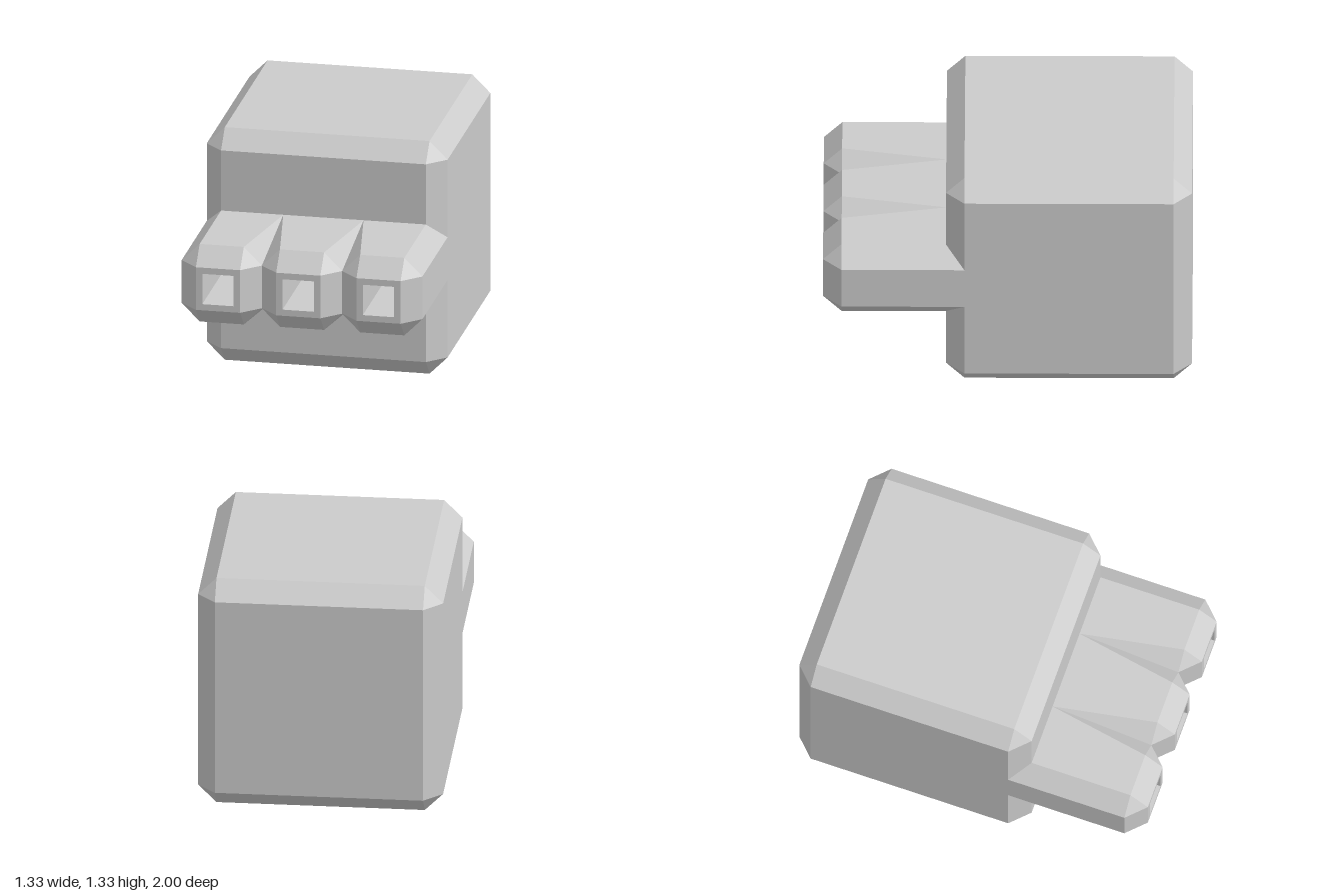
import * as THREE from 'three';
import { ConvexGeometry } from 'three/addons/geometries/ConvexGeometry.js';

const BEVEL = 0.1;
const HALF = 0.667; // half side of the cube body
const FACE_Z = 0.333; // front of the body
const CY = 0.667; // height of the centre line
const R = 0.2223; // half side of a barrel

const material = new THREE.MeshStandardMaterial({ color: 0xcccccc, flatShading: true });

// Cube with all edges and corners cut off
function bevelledCube(h, c) {
  const points = [];
  for (const sx of [-1, 1]) for (const sy of [-1, 1]) for (const sz of [-1, 1]) {
    for (let axis = 0; axis < 3; axis++) {
      const reach = [h - c, h - c, h - c];
      reach[axis] = h;
      points.push(new THREE.Vector3(sx * reach[0], sy * reach[1], sz * reach[2]));
    }
  }
  return new ConvexGeometry(points);
}

// Rectangle with its left and right corners cut by cl and cr, counter-clockwise from the front
function ring(x, halfW, halfH, cl, cr, z) {
  const [l, r, b, t] = [x - halfW, x + halfW, CY - halfH, CY + halfH];
  return [
    [r - cr, b, z], [r, b + cr, z], [r, t - cr, z], [r - cr, t, z],
    [l + cl, t, z], [l, t - cl, z], [l, b + cl, z], [l + cl, b, z],
  ];
}

// Skin over successive rings, with the first ring closed
function loft(rings) {
  const positions = [];
  const triangle = (...corners) => {
    const [a, b, c] = corners.map((p) => new THREE.Vector3(...p));
    if (b.clone().sub(a).cross(c.clone().sub(a)).length() > 1e-7) {
      positions.push(...corners.flat());
    }
  };
  const first = rings[0];
  for (let i = 1; i < first.length - 1; i++) triangle(first[0], first[i], first[i + 1]);
  for (let k = 0; k < rings.length - 1; k++) {
    const [a, b] = [rings[k], rings[k + 1]];
    for (let i = 0; i < a.length; i++) {
      const j = (i + 1) % a.length;
      triangle(a[i], b[i], b[j]);
      triangle(a[i], b[j], a[j]);
    }
  }
  const geometry = new THREE.BufferGeometry();
  geometry.setAttribute('position', new THREE.Float32BufferAttribute(positions, 3));
  geometry.computeVertexNormals();
  return geometry;
}

// Barrel with a square bore; bevels next to another barrel fade out at the body
function barrelGeometry(side) {
  const x = side * 2 * R;
  const bore = 0.087;
  const rearL = side < 0 ? BEVEL : 0;
  const rearR = side > 0 ? BEVEL : 0;
  return loft([
    ring(x, bore, bore, 0, 0, 0.43), // bore floor
    ring(x, bore, bore, 0, 0, 1), // bore mouth
    ring(x, R - BEVEL, R - BEVEL, 0, 0, 1), // muzzle face
    ring(x, R, R, BEVEL, BEVEL, 1 - BEVEL), // shoulder
    ring(x, R, R, rearL, rearR, FACE_Z), // root
    ring(x, R, R, rearL, rearR, FACE_Z - BEVEL - 0.02), // end sunk into the body
  ]);
}

export function createModel() {
  const model = new THREE.Group();
  model.name = 'tripleBarrelBlock';

  const body = new THREE.Mesh(bevelledCube(HALF, BEVEL), material);
  body.name = 'body';
  body.position.set(0, HALF, FACE_Z - HALF);
  model.add(body);

  const names = ['rightBarrel', 'middleBarrel', 'leftBarrel'];
  names.forEach((name, i) => {
    const barrel = new THREE.Mesh(barrelGeometry(i - 1), material);
    barrel.name = name;
    model.add(barrel);
  });
  return model;
}
